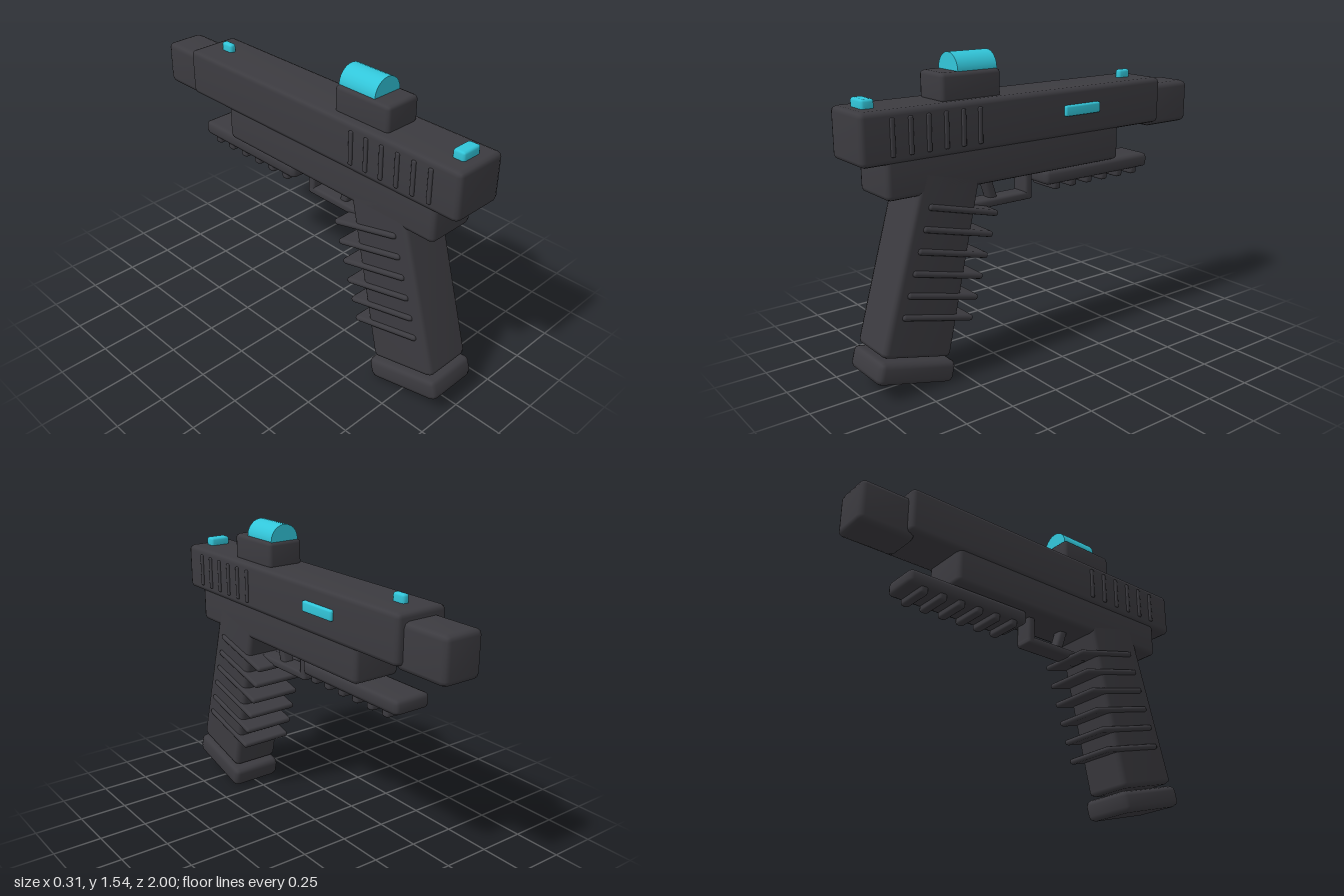
import * as THREE from 'three';
import { mergeVertices } from 'three/addons/utils/BufferGeometryUtils.js';

const CX = -0.005; // body centre line

// Box with softened edges and smooth normals; taper widens the depth towards the bottom
function softBox(w, h, d, c, taper = 0) {
  let g = new THREE.BoxGeometry(1, 1, 1, 3, 3, 3);
  const p = g.attributes.position;
  const half = [w / 2 - c, h / 2 - c, d / 2 - c];
  const v = new THREE.Vector3(), e = new THREE.Vector3();
  for (let i = 0; i < p.count; i++) {
    v.fromBufferAttribute(p, i);
    const a = v.toArray();
    e.fromArray(a.map(t => (Math.abs(t) > 0.4 ? Math.sign(t) : 0))).normalize().multiplyScalar(c);
    v.fromArray(a.map((t, k) => Math.sign(t) * half[k])).add(e);
    v.z *= 1 - taper * (v.y / h);
    p.setXYZ(i, v.x, v.y, v.z);
  }
  g.deleteAttribute('uv');
  g.deleteAttribute('normal');
  g = mergeVertices(g, 1e-5);
  g.computeVertexNormals();
  return g;
}

export function createModel() {
  const model = new THREE.Group();
  model.name = 'pistol';
  const dark = new THREE.MeshStandardMaterial({ color: 0x3c3b40 });
  dark.name = 'charcoal';
  const teal = new THREE.MeshStandardMaterial({ color: 0x32c6da });
  teal.name = 'teal';

  function add(name, geometry, material, x, y, z, tilt = 0) {
    const m = new THREE.Mesh(geometry, material);
    m.name = name;
    m.position.set(x, y, z);
    m.rotation.x = tilt;
    model.add(m);
    return m;
  }
  // Softened box given by its y and z limits
  function block(name, material, w, y0, y1, z0, z1, c, x = CX) {
    return add(name, softBox(w, y1 - y0, z1 - z0, c), material, x, (y0 + y1) / 2, (z0 + z1) / 2);
  }

  // Upper body
  block('slide', dark, 0.28, 1.105, 1.343, -0.75, 1.0, 0.025);
  block('muzzle', dark, 0.21, 1.08, 1.303, -1.0, -0.7, 0.028);
  block('frame', dark, 0.26, 0.94, 1.14, -0.47, 0.88, 0.025);

  // Slide serrations on both sides
  for (let i = 0; i < 6; i++) {
    const z = 0.85 - i * 0.09;
    for (const s of [-1, 1]) {
      block('serration', dark, 0.03, 1.14, 1.31, z - 0.011, z + 0.011, 0.006, CX + s * 0.134);
    }
  }

  // Raked grip, wrap-around ribs and base plate
  const rake = -0.25;
  add('grip', softBox(0.26, 0.88, 0.34, 0.025, 0.16), dark, CX, 0.6, 0.652, rake);
  for (let i = 0; i < 6; i++) {
    add('gripRib', softBox(0.286, 0.03, 0.385, 0.012), dark, CX, 0.84 - i * 0.098, 0.492 + i * 0.031, rake);
  }
  add('basePlate', softBox(0.286, 0.11, 0.41, 0.028), dark, CX, 0.105, 0.767, rake);

  // Trigger and guard
  block('guardBottom', dark, 0.1, 0.797, 0.838, 0.03, 0.42, 0.012);
  block('guardFront', dark, 0.1, 0.797, 0.96, 0.03, 0.073, 0.012);
  add('trigger', softBox(0.06, 0.16, 0.045, 0.012), dark, CX, 0.9, 0.273, 0.32);

  // Accessory rail with cross teeth
  block('rail', dark, 0.2, 0.862, 0.937, -0.715, -0.02, 0.022);
  for (let i = 0; i < 6; i++) {
    const z = -0.098 - i * 0.1057;
    block('railTooth', dark, 0.18, 0.832, 0.88, z - 0.022, z + 0.022, 0.012);
  }

  // Optic with a domed lens
  block('opticBase', dark, 0.195, 1.33, 1.467, 0.25, 0.573, 0.02);
  const dome = new THREE.CylinderGeometry(0.08, 0.08, 0.214, 24);
  dome.rotateX(Math.PI / 2);
  add('opticLens', dome, teal, CX, 1.468, 0.369);

  // Glowing sights and side port
  block('frontSight', teal, 0.036, 1.33, 1.384, -0.645, -0.572, 0.012);
  block('rearSight', teal, 0.11, 1.33, 1.384, 0.882, 0.944, 0.012);
  block('sidePort', teal, 0.03, 1.208, 1.262, -0.318, -0.094, 0.01, 0.137);

  return model;
}
